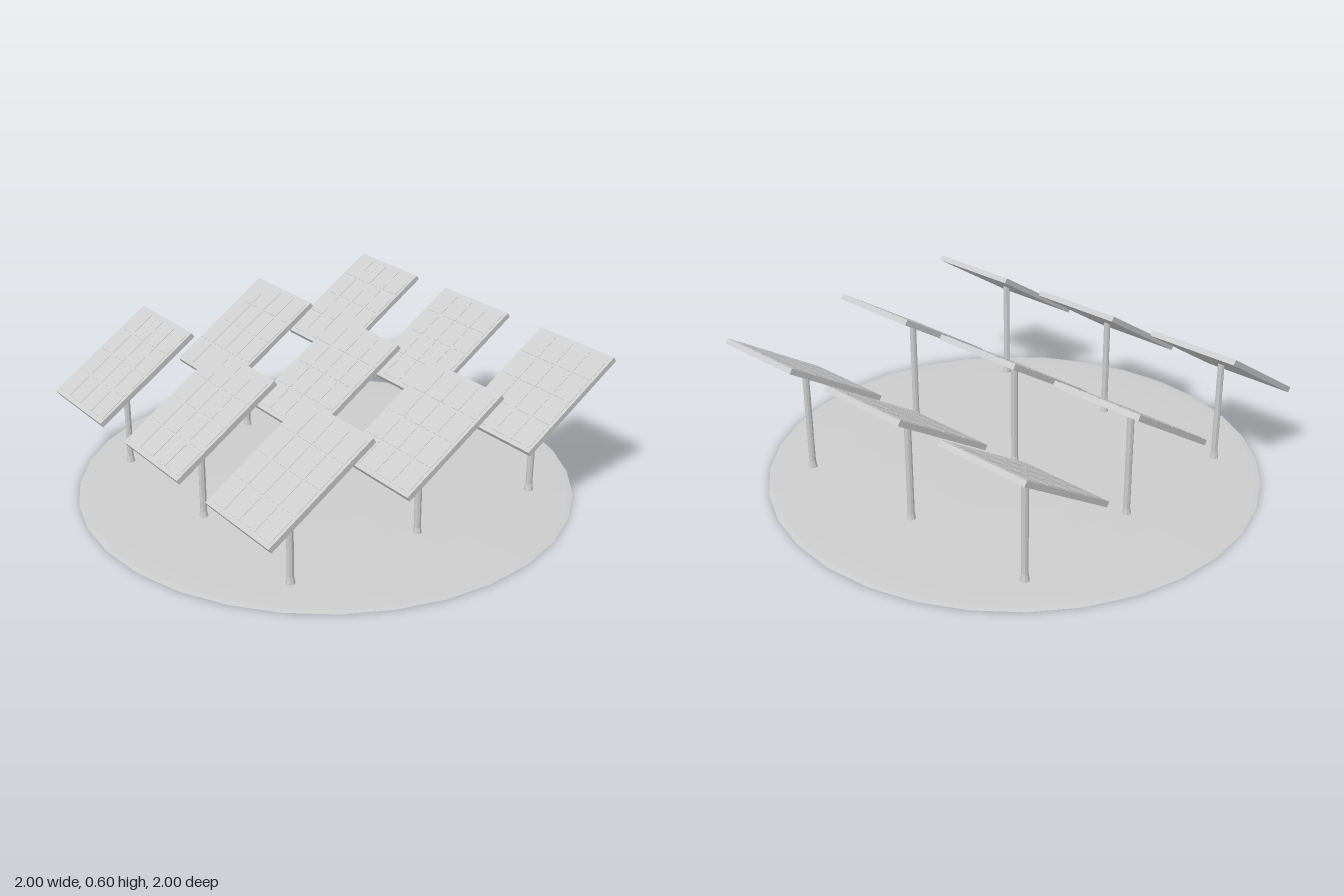
import * as THREE from 'three';

export function createModel() {
  const model = new THREE.Group();
  const material = new THREE.MeshStandardMaterial({ color: 0xcccccc, flatShading: true });
  const add = (parent, name, geometry, x = 0, y = 0, z = 0) => {
    const mesh = new THREE.Mesh(geometry, material);
    mesh.name = name;
    mesh.position.set(x, y, z);
    parent.add(mesh);
    return mesh;
  };

  // Shallow domed ground with a flat underside
  const domeHeight = 0.018, rings = 8;
  const profile = [new THREE.Vector2(0, 0)];
  for (let i = 0; i <= rings; i++) {
    const a = (i / rings) * Math.PI / 2;
    profile.push(new THREE.Vector2(i === rings ? 0 : Math.cos(a), domeHeight * Math.sin(a)));
  }
  add(model, 'ground', new THREE.LatheGeometry(profile, 32));

  // Shared geometry for all nine trackers
  const spacing = 0.583, tilt = THREE.MathUtils.degToRad(33), panelY = 0.449;
  const width = 0.39, thickness = 0.022, length = 0.51;
  const pitchX = 0.0925, pitchZ = 0.12, gap = 0.008, raise = 0.0015;
  const postGeometry = new THREE.CylinderGeometry(0.0135, 0.0135, panelY, 8);
  const footGeometry = new THREE.CylinderGeometry(0.0135, 0.019, 0.028, 8);
  const panelGeometry = new THREE.BoxGeometry(width, thickness, length);
  const cellGeometry = new THREE.BoxGeometry(pitchX - gap, raise * 2, pitchZ - gap);

  for (let row = -1; row <= 1; row++) {
    for (let column = -1; column <= 1; column++) {
      const tracker = new THREE.Group();
      tracker.name = 'solarTracker';
      tracker.position.set(column * spacing, 0, row * spacing);
      model.add(tracker);

      // Post with a flared foot
      add(tracker, 'post', postGeometry, 0, panelY / 2, 0);
      add(tracker, 'foot', footGeometry, 0, 0.024, 0);

      // Panel sloping down to the front, with a 4 by 4 grid of raised cells
      const panel = new THREE.Group();
      panel.name = 'panel';
      panel.position.y = panelY;
      panel.rotation.x = tilt;
      tracker.add(panel);
      add(panel, 'panelSlab', panelGeometry);
      for (let i = 0; i < 4; i++) {
        for (let j = 0; j < 4; j++) {
          add(panel, 'cell', cellGeometry, (i - 1.5) * pitchX, thickness / 2, (j - 1.5) * pitchZ);
        }
      }
    }
  }
  return model;
}
